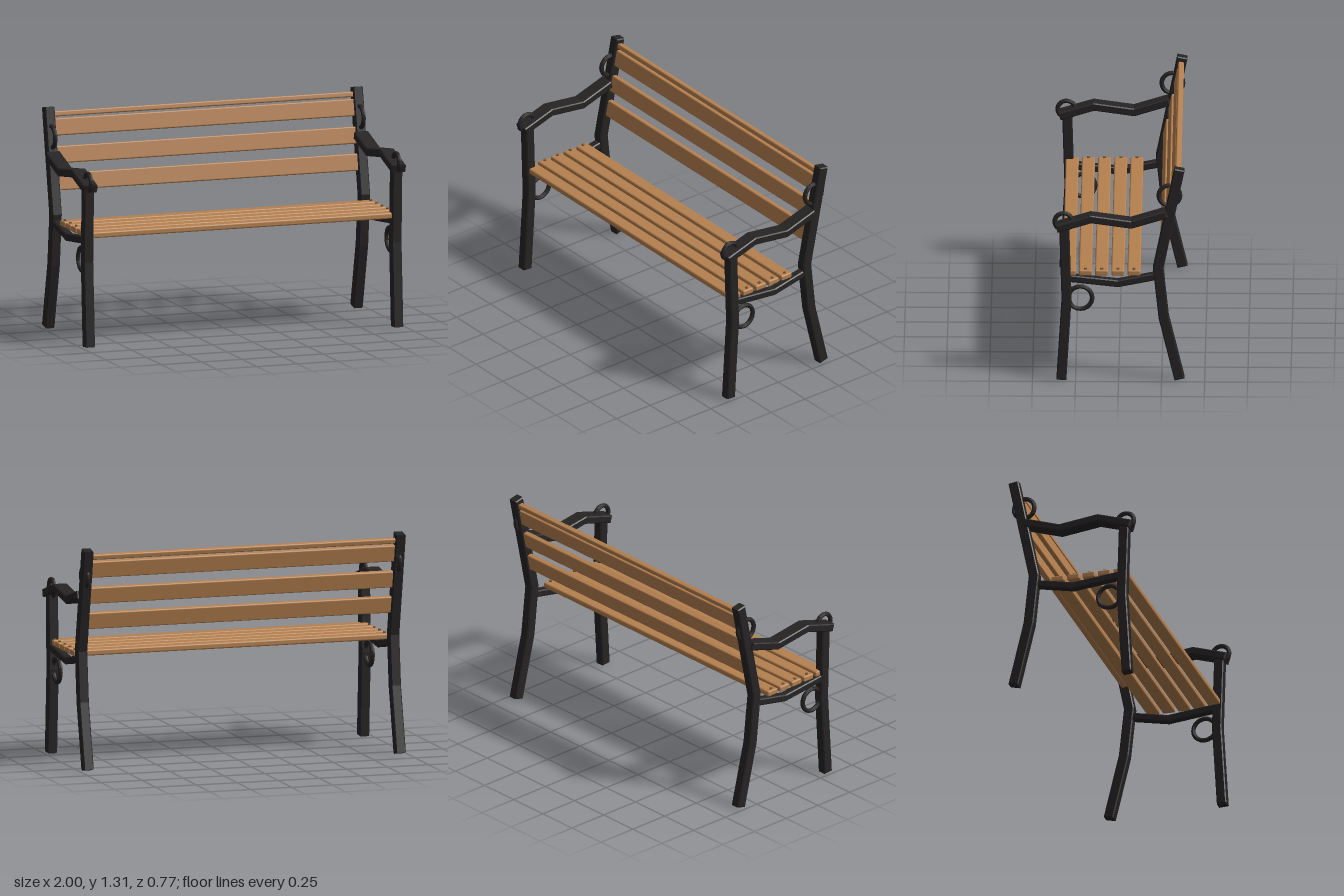
import * as THREE from 'three';
import { RoundedBoxGeometry } from 'three/addons/geometries/RoundedBoxGeometry.js';

const iron = new THREE.MeshStandardMaterial({ color: 0x262323, flatShading: true });
const wood = new THREE.MeshStandardMaterial({ color: 0xb5804f });
const screwMat = new THREE.MeshStandardMaterial({ color: 0x7d5a3c });
const SIDE_X = 0.953;
const BEVEL = 0.006;

// Bar of constant thickness along [z, y] points, with mitred bends and bevelled edges
function barGeometry(points, thickness, width) {
  const p = points.map(([z, y]) => new THREE.Vector2(z, y));
  const normal = (a, b) => new THREE.Vector2(a.y - b.y, b.x - a.x).normalize();
  const left = [], right = [];
  p.forEach((pt, i) => {
    const n0 = normal(p[Math.max(i - 1, 0)], p[Math.max(i, 1)]);
    const last = p.length - 1;
    const n1 = normal(p[Math.min(i, last - 1)], p[Math.min(i + 1, last)]);
    const m = n0.clone().add(n1).normalize();
    m.multiplyScalar(thickness / 2 / m.dot(n0));
    left.push(pt.clone().add(m));
    right.unshift(pt.clone().sub(m));
  });
  const depth = width - 2 * BEVEL;
  const geo = new THREE.ExtrudeGeometry(new THREE.Shape([...left, ...right]), {
    depth, bevelEnabled: true, bevelThickness: BEVEL, bevelSize: BEVEL,
    bevelOffset: -BEVEL, bevelSegments: 1,
  });
  geo.translate(0, 0, -depth / 2);
  geo.rotateY(-Math.PI / 2);
  return geo;
}

function add(parent, name, geometry, material, x = 0, y = 0, z = 0) {
  const mesh = new THREE.Mesh(geometry, material);
  mesh.name = name;
  mesh.position.set(x, y, z);
  parent.add(mesh);
  return mesh;
}

// Cast iron end frame
function sideFrame(name, x) {
  const frame = new THREE.Group();
  frame.name = name;
  frame.position.x = x;
  const bars = [
    ['backLeg', [[-0.354, 0.007], [-0.262, 0.39], [-0.23, 0.69], [-0.354, 1.302]], 0.06, 0.06],
    ['frontLeg', [[0.332, 0.002], [0.302, 0.5], [0.316, 0.95]], 0.058, 0.06],
    ['armrest', [[0.36, 0.938], [0.16, 0.999], [-0.073, 0.966], [-0.28, 1.03]], 0.046, 0.09],
    ['seatRail', [[0.3, 0.628], [0.003, 0.595], [-0.225, 0.641]], 0.042, 0.05],
  ];
  for (const [part, path, thickness, width] of bars) {
    add(frame, part, barGeometry(path, thickness, width), iron);
  }
  // Decorative rings: z, y, radius
  const rings = [
    ['armrestRing', 0.32, 0.972, 0.051],
    ['legRing', 0.222, 0.502, 0.069],
    ['backRing', -0.295, 1.135, 0.062],
  ];
  for (const [part, z, y, r] of rings) {
    add(frame, part, new THREE.TorusGeometry(r, 0.0135, 8, 20), iron, 0, y, z).rotation.y = Math.PI / 2;
  }
  return frame;
}

export function createModel() {
  const bench = new THREE.Group();
  bench.name = 'bench';
  bench.add(sideFrame('leftFrame', SIDE_X), sideFrame('rightFrame', -SIDE_X));

  // Seat slats with a screw at each end
  const seat = new THREE.Group();
  seat.name = 'seat';
  bench.add(seat);
  const seatSlat = new RoundedBoxGeometry(1.93, 0.035, 0.076, 2, 0.009);
  const screw = new THREE.CylinderGeometry(0.009, 0.009, 0.014, 8);
  for (let i = 0; i < 5; i++) {
    const z = 0.286 - i * 0.094;
    add(seat, 'seatSlat', seatSlat, wood, 0, 0.657, z);
    for (const s of [-1, 1]) add(seat, 'screw', screw, screwMat, s * 0.945, 0.675, z);
  }

  // Backrest boards and top strip, leaning with the back posts
  const backrest = new THREE.Group();
  backrest.name = 'backrest';
  bench.add(backrest);
  for (const [y, h] of [[0.873, 0.1], [1.027, 0.1], [1.185, 0.1], [1.26, 0.031]]) {
    const board = new RoundedBoxGeometry(1.9, h, 0.034, 2, 0.008);
    const z = -0.23 - 0.2026 * (y - 0.69);
    add(backrest, h < 0.05 ? 'topStrip' : 'backBoard', board, wood, 0, y, z).rotation.x = -0.2;
  }
  return bench;
}
